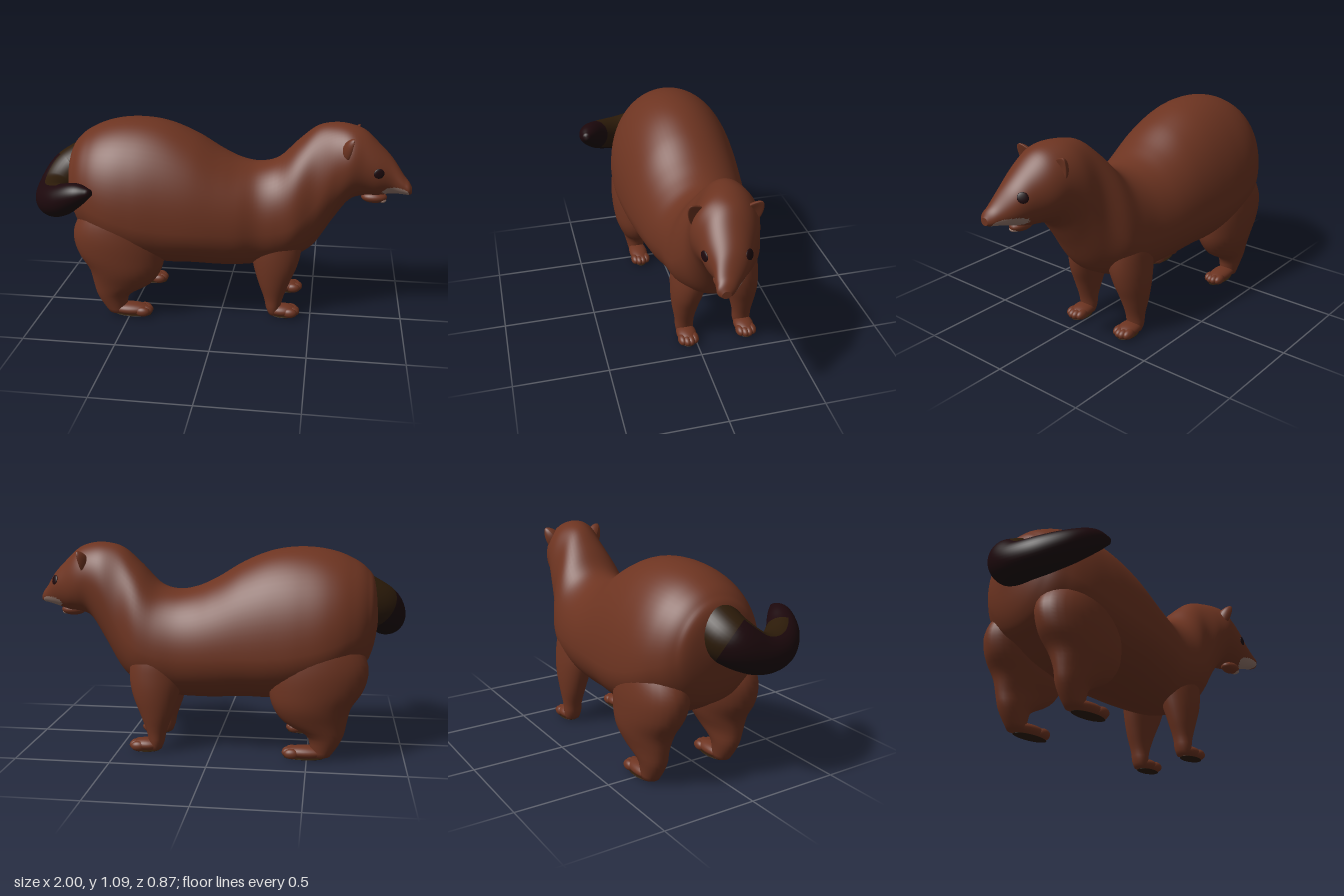
import * as THREE from 'three';

const material = (name, color) => {
  const m = new THREE.MeshStandardMaterial({ color });
  m.name = name;
  return m;
};

// Closed skin over a list of equal rings; pick(point, ringIndex) gives a material slot
function loft(rings, slots = 1, pick = () => 0) {
  const n = rings[0].length, pos = [], lists = Array.from({ length: slots }, () => []);
  rings.forEach(r => r.forEach(p => pos.push(p.x, p.y, p.z)));
  const all = rings.flat();
  const centre = r => r.reduce((s, p) => s.add(p), new THREE.Vector3()).divideScalar(n);
  const caps = [centre(rings[0]), centre(rings.at(-1))];
  caps.forEach(p => { pos.push(p.x, p.y, p.z); all.push(p); });
  const face = (i, a, b, c) => {
    const mid = all[a].clone().add(all[b]).add(all[c]).divideScalar(3);
    lists[pick(mid, i)].push(a, b, c);
  };
  const last = (rings.length - 1) * n;
  for (let j = 0; j < n; j++) {
    const k = (j + 1) % n;
    for (let i = 0; i < rings.length - 1; i++) {
      const a = i * n, b = a + n;
      face(i, a + j, b + j, b + k);
      face(i, a + j, b + k, a + k);
    }
    face(0, all.length - 2, j, k);
    face(rings.length - 1, all.length - 1, last + k, last + j);
  }
  const g = new THREE.BufferGeometry();
  g.setAttribute('position', new THREE.Float32BufferAttribute(pos, 3));
  g.setIndex(lists.flat());
  let start = 0;
  lists.forEach((l, s) => { g.addGroup(start, l.length, s); start += l.length; });
  g.computeVertexNormals();
  return g;
}

// Smooth lookup through rows whose first entry is the parameter
function smoothRows(rows) {
  const f = new THREE.CubicInterpolant(rows.map(r => r[0]), rows.flatMap(r => r.slice(1)), rows[0].length - 1);
  return t => Array.from(f.evaluate(t));
}
const ring = (n, f) => Array.from({ length: n }, (_, j) => f(j / n * Math.PI * 2));

// Body and head: x, top, widest height, bottom, centre z, half width
const bodyAt = smoothRows([
  [-0.85, 0.82, 0.75, 0.68, -0.08, 0.06],
  [-0.83, 0.91, 0.73, 0.57, -0.08, 0.17],
  [-0.79, 0.97, 0.69, 0.47, -0.08, 0.24],
  [-0.70, 1.03, 0.65, 0.40, -0.08, 0.31],
  [-0.60, 1.065, 0.61, 0.34, -0.08, 0.347],
  [-0.45, 1.08, 0.57, 0.30, -0.08, 0.358],
  [-0.30, 1.06, 0.55, 0.28, -0.08, 0.348],
  [-0.15, 1.00, 0.54, 0.28, -0.08, 0.33],
  [0.00, 0.91, 0.53, 0.27, -0.085, 0.305],
  [0.10, 0.865, 0.52, 0.27, -0.09, 0.285],
  [0.20, 0.85, 0.52, 0.275, -0.10, 0.26],
  [0.30, 0.88, 0.53, 0.29, -0.10, 0.25],
  [0.40, 0.98, 0.57, 0.33, -0.095, 0.235],
  [0.50, 1.065, 0.67, 0.40, -0.085, 0.19],
  [0.60, 1.09, 0.84, 0.56, -0.07, 0.175],
  [0.68, 1.085, 0.89, 0.68, -0.05, 0.168],
  [0.75, 1.06, 0.88, 0.71, -0.045, 0.148],
  [0.82, 1.00, 0.86, 0.715, -0.03, 0.122],
  [0.90, 0.92, 0.835, 0.735, -0.013, 0.085],
  [0.96, 0.84, 0.79, 0.743, 0.02, 0.055],
  [0.985, 0.812, 0.776, 0.745, 0.033, 0.042],
  [1.00, 0.788, 0.768, 0.75, 0.037, 0.022],
]);
function bodyPoint(x, a) {
  const [top, mid, bottom, cz, w] = bodyAt(x);
  const s = Math.sin(a);
  return new THREE.Vector3(x, mid + s * (s > 0 ? top - mid : mid - bottom), cz + w * Math.cos(a));
}

// Legs, bottom to top, sinking into the body: y, centre x, half depth, sideways offset, half width
const hindLeg = [
  [0.02, -0.57, 0.05, 0.22, 0.045], [0.07, -0.585, 0.07, 0.22, 0.055],
  [0.13, -0.59, 0.095, 0.222, 0.068], [0.20, -0.54, 0.16, 0.225, 0.09],
  [0.28, -0.52, 0.20, 0.22, 0.122], [0.38, -0.54, 0.243, 0.212, 0.142],
  [0.50, -0.55, 0.25, 0.20, 0.152], [0.62, -0.53, 0.21, 0.18, 0.145],
  [0.75, -0.51, 0.12, 0.15, 0.09],
];
const frontLeg = [
  [0.015, 0.30, 0.03, 0.163, 0.04], [0.05, 0.295, 0.04, 0.163, 0.05],
  [0.10, 0.295, 0.05, 0.163, 0.052], [0.20, 0.295, 0.085, 0.16, 0.07],
  [0.30, 0.30, 0.12, 0.15, 0.088], [0.40, 0.30, 0.14, 0.135, 0.10],
  [0.52, 0.30, 0.13, 0.115, 0.102], [0.66, 0.30, 0.08, 0.09, 0.065],
];

export function createModel() {
  const model = new THREE.Group();
  const fur = material('brown fur', 0x6d3421);
  const dark = material('dark tail and eyes', 0x1c080c);
  const olive = material('olive brown', 0x2c1b09);
  const pale = material('pale muzzle', 0x96796e);
  const add = (name, geometry, mat, parent = model) => {
    const m = new THREE.Mesh(geometry, mat);
    m.name = name;
    parent.add(m);
    return m;
  };
  const ball = (name, mat, p, r, parent) => {
    const m = add(name, new THREE.SphereGeometry(1, 24, 16), mat, parent);
    m.position.set(...p);
    m.scale.set(...r);
    return m;
  };

  // Body, neck and head in one skin, with pale oval upper lips
  const bodyRings = Array.from({ length: 141 }, (_, i) => {
    const x = -0.85 + 1.85 * (1 - Math.cos(i / 140 * Math.PI)) / 2;
    return ring(72, a => bodyPoint(x, a));
  });
  const isLip = p => Math.hypot((p.x - 0.918) / 0.068, (p.y - 0.758) / 0.03) < 1;
  add('bodyAndHead', loft(bodyRings, 2, p => (isLip(p) ? 1 : 0)), [fur, pale]);

  // Lower jaw
  ball('lowerJaw', fur, [0.812, 0.71, -0.005], [0.068, 0.031, 0.045]);
  ball('chin', pale, [0.855, 0.695, 0], [0.022, 0.013, 0.026]);

  // Eyes lie flat on the skin
  for (const [name, x, y, side] of [['rightEye', 0.825, 0.868, 1], ['leftEye', 0.884, 0.885, -1]]) {
    const [top, mid] = bodyAt(x);
    const up = Math.asin((y - mid) / (top - mid));
    const a = side > 0 ? up : Math.PI - up;
    const p = bodyPoint(x, a);
    const du = bodyPoint(x + 0.01, a).sub(p), dv = bodyPoint(x, a + 0.05).sub(p);
    const eye = ball(name, dark, p.toArray(), [0.028, 0.026, 0.007]);
    eye.quaternion.setFromUnitVectors(new THREE.Vector3(0, 0, 1), du.cross(dv).normalize());
  }

  // Ears: broad at the root, cupped towards the front
  for (const [name, x, z, side] of [['rightEar', 0.66, 0.078, 1], ['leftEar', 0.695, -0.165, -1]]) {
    const g = new THREE.SphereGeometry(1, 24, 16);
    const q = g.attributes.position;
    for (let i = 0; i < q.count; i++) {
      const v = new THREE.Vector3().fromBufferAttribute(q, i);
      const cup = v.x > 0 ? -0.6 * v.x : 0;
      q.setXYZ(i, v.x + cup + 0.4 * (v.y * v.y + v.z * v.z), v.y, v.z * (1 - 0.3 * v.y));
    }
    g.computeVertexNormals();
    const ear = add(name, g, fur);
    ear.position.set(x, 0.985, z);
    ear.scale.set(0.027, 0.082, 0.05);
    ear.rotation.set(side * 0.6, 0, -0.25);
  }

  // Legs with flat-soled feet and toes
  const kinds = [
    ['hind', hindLeg, -0.08, -0.495, 0.115],
    ['front', frontLeg, -0.117, 0.345, 0.08],
  ];
  for (const [kind, rows, centreZ, footX, footLength] of kinds) {
    for (const side of [1, -1]) {
      const leg = new THREE.Group();
      leg.name = kind + (side > 0 ? 'RightLeg' : 'LeftLeg');
      model.add(leg);
      const at = smoothRows(rows), y0 = rows[0][0], y1 = rows.at(-1)[0];
      const rings = Array.from({ length: 33 }, (_, i) => {
        const y = y0 + (y1 - y0) * i / 32, [cx, rx, off, rz] = at(y);
        return ring(32, a => new THREE.Vector3(
          cx + rx * Math.cos(a), y, centreZ + side * off + rz * Math.sin(a)));
      });
      add('leg', loft(rings), fur, leg);
      const z = centreZ + side * rows[0][3];
      ball('foot', fur, [footX, 0.038, z], [footLength, 0.034, 0.054], leg);
      for (let t = 0; t < 4; t++) {
        const o = t - 1.5;
        ball('toe', fur, [footX + footLength * 0.78 - Math.abs(o) * 0.012, 0.033, z + o * 0.022],
          [0.04, 0.027, 0.024], leg);
      }
      // Dark pad under the foot
      ball('sole', olive, [footX + 0.01, 0.006, z], [footLength * 0.9, 0.005, 0.045], leg);
    }
  }

  // Tail curling round to the right, olive on the inside of the curl
  const path = new THREE.CatmullRomCurve3([
    [-0.74, 0.83, -0.08], [-0.85, 0.77, -0.05], [-0.9, 0.70, 0.07], [-0.88, 0.69, 0.19],
    [-0.8, 0.725, 0.305], [-0.7, 0.778, 0.372], [-0.615, 0.803, 0.403],
  ].map(p => new THREE.Vector3(...p)));
  const radius = smoothRows([[0, 0.13], [0.2, 0.118], [0.4, 0.1], [0.6, 0.092], [0.78, 0.077], [0.92, 0.052], [1, 0.018]]);
  const steps = 60, frames = path.computeFrenetFrames(steps);
  const tailRings = Array.from({ length: steps + 1 }, (_, i) => {
    const c = path.getPointAt(i / steps), [r] = radius(i / steps);
    return ring(40, a => c.clone()
      .addScaledVector(frames.binormals[i], r * Math.cos(a))
      .addScaledVector(frames.normals[i], r * Math.sin(a)));
  });
  const curlCentre = new THREE.Vector3(-0.6, 0.9, 0.08);
  const tailSlot = (p, i) => {
    const t = i / steps, c = path.getPointAt(t);
    const inward = curlCentre.clone().sub(c).normalize();
    const facing = p.clone().sub(c).normalize().dot(inward);
    return t < 0.16 || (t < 0.75 && facing > 0.12) ? 1 : 0;
  };
  add('tail', loft(tailRings, 2, tailSlot), [dark, olive]);

  return model;
}
